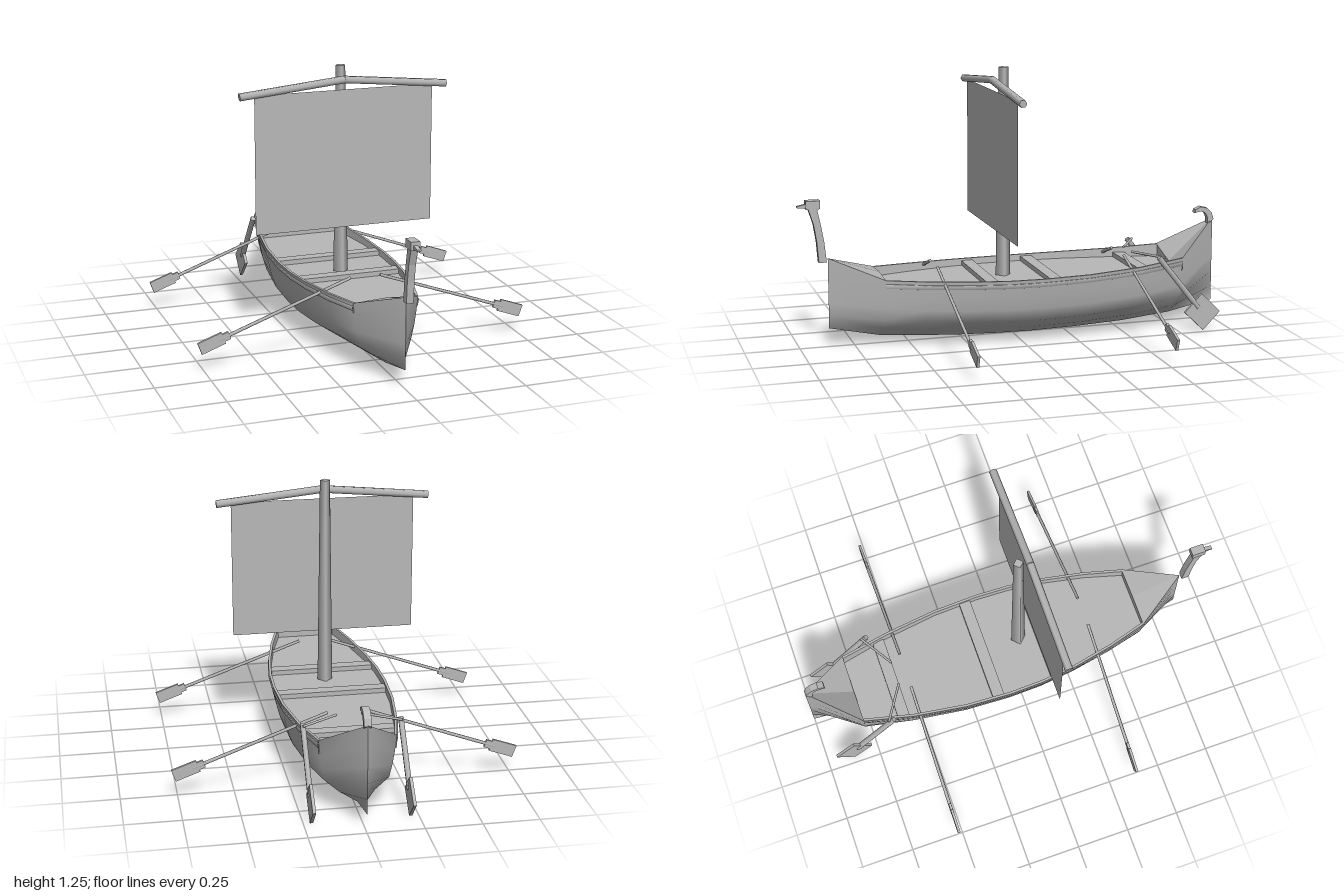
import * as THREE from 'three';

const grey = new THREE.MeshStandardMaterial({ color: 0xb8b8b8, side: THREE.DoubleSide });
grey.name = 'plain grey';

// Hull stations from bow to stern: z, half beam, gunwale height, keel height
const STATIONS = [
  [0.865, 0, 0.41, 0.085], [0.63, 0.15, 0.325, 0.035], [0.45, 0.2, 0.318, 0.02],
  [0.25, 0.24, 0.313, 0.008], [0.08, 0.26, 0.31, 0.002], [-0.08, 0.265, 0.31, 0],
  [-0.3, 0.255, 0.313, 0.004], [-0.55, 0.22, 0.322, 0.016], [-0.78, 0.17, 0.34, 0.04],
  [-1, 0, 0.49, 0.085],
];
const MIDDLE = STATIONS.slice(1, -1);
const DECK_Y = 0.28;

export function createModel() {
  const group = new THREE.Group();
  const add = (name, geometry, parent = group) => {
    const mesh = new THREE.Mesh(geometry, grey);
    mesh.name = name;
    parent.add(mesh);
    return mesh;
  };

  // Skin between cross-sections that all have the same number of points
  const loft = (sections, flip = false) => {
    const n = sections[0].length, index = [];
    for (let i = 0; i < sections.length - 1; i++) {
      for (let j = 0; j < n - 1; j++) {
        const a = i * n + j, b = a + 1, c = a + n, d = c + 1;
        index.push(...(flip ? [a, b, c, b, d, c] : [a, c, b, b, c, d]));
      }
    }
    const g = new THREE.BufferGeometry();
    g.setAttribute('position', new THREE.Float32BufferAttribute(sections.flat(2), 3));
    g.setIndex(index);
    g.computeVertexNormals();
    return g;
  };

  const box = (name, w, h, d, x, y, z, parent) => {
    const mesh = add(name, new THREE.BoxGeometry(w, h, d), parent);
    mesh.position.set(x, y, z);
    return mesh;
  };

  // Round bar from a to b
  const bar = (name, a, b, r0, r1, sides, parent) => {
    const p = new THREE.Vector3(...a), q = new THREE.Vector3(...b);
    const dir = q.clone().sub(p);
    const mesh = add(name, new THREE.CylinderGeometry(r1, r0, dir.length(), sides), parent);
    mesh.position.copy(p).add(q).multiplyScalar(0.5);
    mesh.quaternion.setFromUnitVectors(new THREE.Vector3(0, 1, 0), dir.normalize());
    return mesh;
  };

  // Side outline given as [z, y], extruded across x
  const plate = (name, points, width) => {
    const shape = new THREE.Shape(points.map(([z, y]) => new THREE.Vector2(-z, y)));
    const g = new THREE.ExtrudeGeometry(shape, { depth: width, bevelEnabled: false });
    g.translate(0, 0, -width / 2).rotateY(Math.PI / 2);
    return add(name, g);
  };

  // Hull halves with rim, bulwark and rubbing strake
  for (const s of [1, -1]) {
    const flip = s > 0;
    add('hullSide', loft(STATIONS.map(([z, w, t, k]) => {
      const h = t - k;
      return [[s * w, t, z], [s * w * 0.95, t - h * 0.25, z], [s * w * 0.89, t - h * 0.46, z],
        [s * w * 0.81, t - h * 0.65, z], [s * w * 0.45, k + h * 0.17, z], [0, k, z]];
    }), !flip));
    add('rim', loft(MIDDLE.map(([z, w, t]) => [[s * w, t, z], [s * (w - 0.012), t, z]]), flip));
    add('bulwark', loft(MIDDLE.map(([z, w, t]) => [[s * (w - 0.012), t, z], [s * (w - 0.014), DECK_Y, z]]), flip));
    add('strake', loft(MIDDLE.map(([z, w, t]) => [[s * w * 0.985, t - 0.016, z],
      [s * (w * 0.985 + 0.006), t - 0.018, z], [s * (w * 0.965 + 0.006), t - 0.036, z],
      [s * w * 0.965, t - 0.038, z]]), !flip));
  }

  // Deck and the covers at both ends
  add('deck', loft(MIDDLE.map(([z, w]) => [[w - 0.013, DECK_Y, z], [-w + 0.013, DECK_Y, z]]), true));
  const endCover = (name, tip, edge, centreY) => {
    const [z, w, t] = edge;
    for (const s of [1, -1]) {
      const g = new THREE.BufferGeometry();
      const corners = [[0, tip[2], tip[0]], [s * w, t, z], [0, centreY, z]];
      if (s * Math.sign(tip[0]) < 0) corners.reverse();
      g.setAttribute('position', new THREE.Float32BufferAttribute(corners.flat(), 3));
      g.computeVertexNormals();
      add(name, g);
    }
    add(name + 'Bulkhead', loft([[[w, t, z], [w, DECK_Y, z]], [[0, centreY, z], [0, DECK_Y, z]],
      [[-w, t, z], [-w, DECK_Y, z]]], tip[0] < 0));
  };
  endCover('bowCover', STATIONS[0], MIDDLE[0], 0.333);
  endCover('sternCover', STATIONS[9], MIDDLE[7], 0.29);

  // Rowing benches
  for (const [z, w] of [[0.155, 0.48], [-0.14, 0.5], [-0.595, 0.4]]) box('bench', w, 0.022, 0.055, 0, 0.291, z);

  // Mast, bent yard and flat sail
  bar('mast', [0, 0.27, 0.046], [0, 1.247, 0.042], 0.035, 0.023, 4);
  for (const s of [1, -1]) bar('yard', [0, 1.19, 0.097], [s * 0.49, 1.142, 0.097], 0.018, 0.018, 6);
  const sail = add('sail', new THREE.PlaneGeometry(0.845, 0.64));
  sail.position.set(0, 0.825, 0.1);

  // Rowing oars
  for (const [z, inner] of [[0.375, 0.07], [-0.52, 0.085]]) {
    for (const s of [1, -1]) {
      const oar = new THREE.Group();
      oar.name = 'oar';
      group.add(oar);
      bar('oarShaft', [s * inner, 0.352, z], [s * 0.68, 0.133, z], 0.007, 0.008, 6, oar);
      const blade = box('oarBlade', 0.115, 0.056, 0.012, s * 0.712, 0.122, z, oar);
      blade.rotation.z = -s * 0.345;
      const neck = box('oarNeck', 0.03, 0.036, 0.012, s * 0.645, 0.146, z, oar);
      neck.rotation.z = -s * 0.345;
    }
  }

  // Steering oars with tillers
  for (const s of [1, -1]) {
    const x = s * 0.215;
    bar('steeringShaft', [x, 0.362, -0.645], [x, 0.11, -0.845], 0.013, 0.013, 6);
    const blade = box('steeringBlade', 0.014, 0.13, 0.12, x, 0.088, -0.865);
    blade.rotation.x = 0.8;
    bar('tiller', [s * 0.055, 0.36, -0.57], [s * 0.218, 0.36, -0.672], 0.006, 0.006, 6);
  }

  // Bow figurehead: curved neck, head and beak
  plate('figureheadNeck', [[0.872, 0.395], [0.908, 0.395], [0.915, 0.49], [0.928, 0.57], [0.952, 0.645],
    [0.912, 0.645], [0.896, 0.57], [0.882, 0.49]], 0.032);
  box('figureheadHead', 0.04, 0.038, 0.064, 0, 0.66, 0.93);
  plate('figureheadBeak', [[0.96, 0.644], [1, 0.649], [1, 0.656], [0.96, 0.664]], 0.018);

  // Stern curl
  plate('sternCurl', [[-1, 0.485], [-0.99, 0.515], [-0.968, 0.539], [-0.935, 0.547], [-0.906, 0.535],
    [-0.904, 0.518], [-0.918, 0.523], [-0.94, 0.525], [-0.958, 0.515], [-0.968, 0.495], [-0.97, 0.46]], 0.032);

  return group;
}
